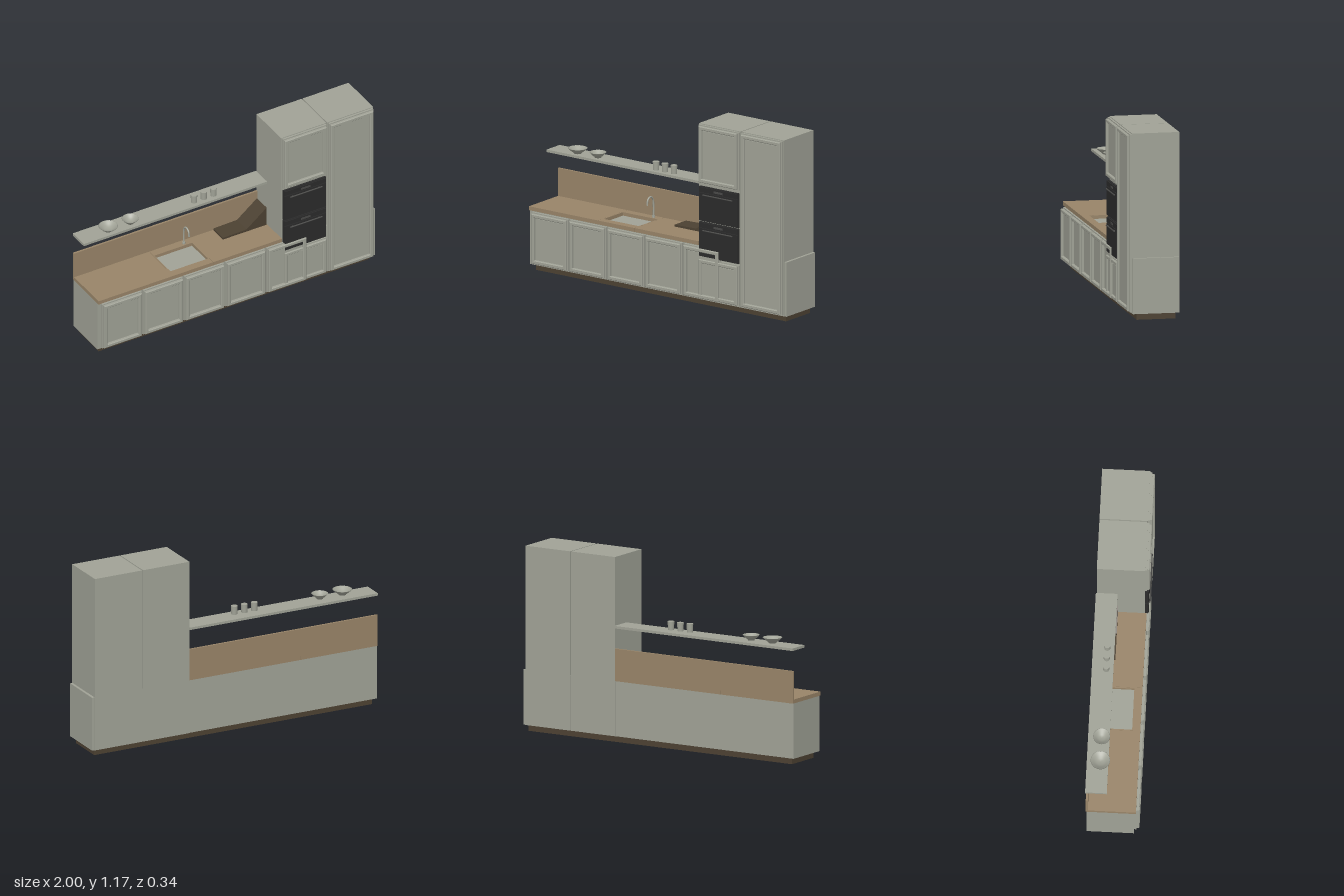
import * as THREE from 'three';

const mat = (name, color, extra = {}) => {
  const m = new THREE.MeshStandardMaterial({ color, ...extra });
  m.name = name;
  return m;
};

export function createModel() {
  const root = new THREE.Group();
  root.name = 'kitchen';
  const grey = mat('greyPaint', 0xa0a296);
  const greyOpen = mat('greyCeramic', 0xa0a296, { side: THREE.DoubleSide });
  const wood = mat('worktopWood', 0x988468);
  const darkWood = mat('darkWood', 0x4c4132);
  const black = mat('ovenBlack', 0x2b2b2b);
  const steel = mat('darkSteel', 0x4a4a48);

  const add = (name, geo, material, parent = root) => {
    const mesh = new THREE.Mesh(geo, material);
    mesh.name = name;
    parent.add(mesh);
    return mesh;
  };
  // Box given by its lower and upper limits on each axis
  const box = (name, material, x0, x1, y0, y1, z0, z1, parent = root) => {
    const g = new THREE.BoxGeometry(x1 - x0, y1 - y0, z1 - z0);
    g.translate((x0 + x1) / 2, (y0 + y1) / 2, (z0 + z1) / 2);
    return add(name, g, material, parent);
  };
  const rect = (Type, x0, x1, y0, y1) => new Type([
    new THREE.Vector2(x0, y0), new THREE.Vector2(x1, y0),
    new THREE.Vector2(x1, y1), new THREE.Vector2(x0, y1),
  ]);

  // Framed door: backing slab, raised bevelled frame, recessed panel
  const door = (name, x0, x1, y0, y1, front = 0.165) => {
    const g = new THREE.Group();
    g.name = name;
    root.add(g);
    box('doorSlab', grey, x0, x1, y0, y1, 0.133, 0.149, g);
    const a = 0.011, b = 0.026, bevel = 0.004;
    const ring = rect(THREE.Shape, x0 + a, x1 - a, y0 + a, y1 - a);
    ring.holes.push(rect(THREE.Path, x0 + b, x1 - b, y0 + b, y1 - b));
    const geo = new THREE.ExtrudeGeometry(ring, {
      depth: front - 0.145 - bevel, bevelEnabled: true,
      bevelThickness: bevel, bevelSize: bevel, bevelSegments: 1,
    });
    geo.translate(0, 0, 0.145);
    add('doorFrame', geo, grey, g);
    const c = 0.036;
    box('doorPanel', grey, x0 + c, x1 - c, y0 + c, y1 - c, 0.148, 0.153, g);
  };

  // Plinth and base cabinets
  box('plinth', darkWood, -0.975, 0.975, 0, 0.041, -0.14, 0.105);
  box('baseCabinet', grey, -1, 1, 0.04, 0.39, -0.16, 0.133);
  for (let i = 0; i < 5; i++) {
    const x = -0.976 + i * 0.2965;
    door('baseDoor', x, x + 0.284, 0.048, 0.382, 0.167);
  }

  // Tall cabinets
  box('ovenTower', grey, 0.32, 0.645, 0.04, 1.175, -0.164, 0.136);
  box('larderTower', grey, 0.652, 0.983, 0.04, 1.175, -0.164, 0.136);
  door('ovenTowerUpperDoor', 0.327, 0.64, 0.795, 1.17);
  door('ovenTowerLowerDoor', 0.327, 0.64, 0.048, 0.312, 0.162);
  door('larderDoor', 0.658, 0.977, 0.048, 1.17);

  // Two built-in ovens
  for (const [y0, y1] of [[0.322, 0.546], [0.553, 0.775]]) {
    const oven = new THREE.Group();
    oven.name = 'oven';
    root.add(oven);
    box('ovenSurround', black, 0.332, 0.637, y0, y1, 0.13, 0.15, oven);
    box('ovenDoor', black, 0.337, 0.632, y0 + 0.005, y1 - 0.038, 0.145, 0.158, oven);
    box('ovenControlStrip', black, 0.337, 0.632, y1 - 0.035, y1 - 0.004, 0.145, 0.157, oven);
    box('ovenDisplay', steel, 0.45, 0.52, y1 - 0.027, y1 - 0.014, 0.155, 0.159, oven);
    const bar = new THREE.CylinderGeometry(0.0045, 0.0045, 0.23, 10);
    bar.rotateZ(Math.PI / 2).translate(0.485, y1 - 0.05, 0.166);
    add('ovenHandle', bar, steel, oven);
    for (const x of [0.39, 0.58])
      box('handlePost', steel, x - 0.004, x + 0.004, y1 - 0.053, y1 - 0.047, 0.155, 0.166, oven);
  }

  // Worktop in three lengths, the middle one cut out around the sink
  const zb = -0.166, zf = 0.146, y0 = 0.39, y1 = 0.415;
  box('worktopLeftRun', wood, -1, -0.461, y0, y1, zb, zf);
  box('worktopRightRun', wood, -0.174, 0.32, y0, y1, zb, zf);
  const top = rect(THREE.Shape, -0.46, -0.175, -zf, -zb);
  top.holes.push(rect(THREE.Path, -0.453, -0.182, -0.095, 0.1));
  const topGeo = new THREE.ExtrudeGeometry(top, { depth: y1 - y0, bevelEnabled: false });
  topGeo.rotateX(-Math.PI / 2).translate(0, y0, 0);
  add('worktopSinkRun', topGeo, wood);
  box('sinkBottom', grey, -0.453, -0.182, 0.385, 0.393, -0.1, 0.095);
  box('backsplash', wood, -1, 0.32, y1, 0.595, zb, -0.153);

  // Arched tap
  const tap = new THREE.CatmullRomCurve3([
    [0.414, -0.12], [0.5, -0.12], [0.538, -0.112], [0.554, -0.087],
    [0.54, -0.062], [0.505, -0.055],
  ].map(([y, z]) => new THREE.Vector3(-0.23, y, z)));
  add('tap', new THREE.TubeGeometry(tap, 30, 0.0055, 10), grey);
  const tapBase = new THREE.CylinderGeometry(0.009, 0.01, 0.014, 16);
  tapBase.translate(-0.23, 0.421, -0.12);
  add('tapBase', tapBase, grey);

  // Dark board with a sloping end beside the tower
  const board = new THREE.Shape([
    [0, 0.413], [0.315, 0.413], [0.315, 0.545], [0.17, 0.431], [0, 0.427],
  ].map(([x, y]) => new THREE.Vector2(x, y)));
  const boardGeo = new THREE.ExtrudeGeometry(board, { depth: 0.118, bevelEnabled: false });
  boardGeo.translate(0, 0, -0.15);
  add('slopedBoard', boardGeo, darkWood);

  // Wall shelf with a slim strip below
  box('shelf', grey, -1, 0.32, 0.724, 0.74, -0.17, -0.035);
  box('shelfUnderStrip', grey, -0.95, 0.27, 0.718, 0.725, -0.145, -0.055);

  // Bowls and cups on the shelf
  for (const [x, r] of [[-0.795, 0.061], [-0.637, 0.053]]) {
    const profile = [[0, 0], [0.38, 0], [0.42, 0.005], [0.72, 0.018], [1, 0.035],
      [0.95, 0.035], [0.68, 0.021], [0.35, 0.009], [0, 0.008]]
      .map(([k, y]) => new THREE.Vector2(k * r, y));
    const bowl = add('bowl', new THREE.LatheGeometry(profile, 32), greyOpen);
    bowl.position.set(x, 0.74, -0.085);
  }
  for (const x of [-0.18, -0.11, -0.04]) {
    const cup = add('cup', new THREE.CylinderGeometry(0.021, 0.019, 0.054, 24), grey);
    cup.position.set(x, 0.767, -0.08);
  }
  return root;
}
